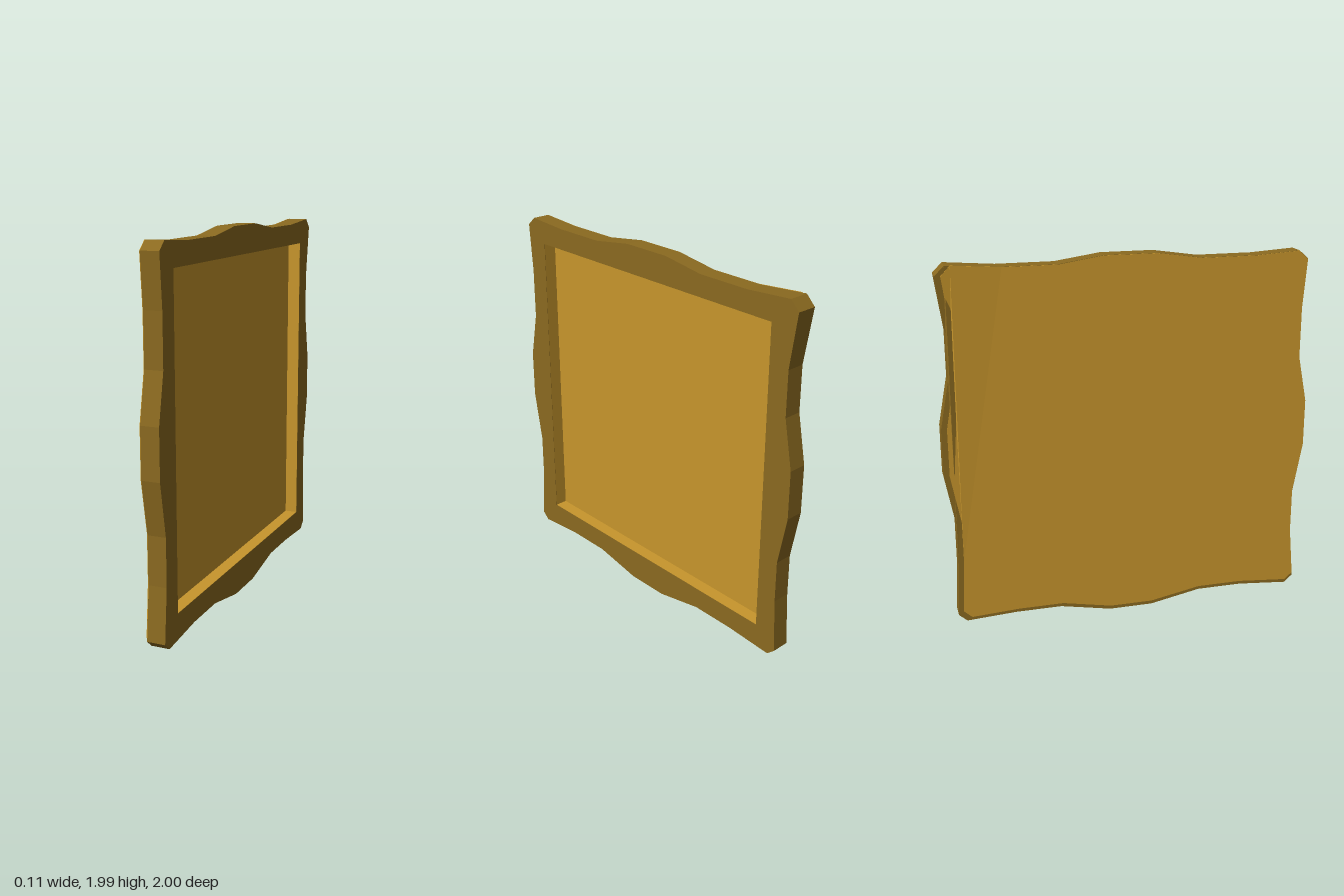
import * as THREE from 'three';

// Wavy outline as [-z, y], running around the frame
const OUTLINE = [
  [-0.92, 1.97], [-0.68, 1.955], [-0.38, 1.955], [-0.14, 1.99], [0.14, 1.99], [0.38, 1.955], [0.68, 1.955], [0.94, 1.975],
  [0.99, 1.925], [0.95, 1.64], [0.95, 1.4], [1, 1.14], [1, 0.88], [0.95, 0.61], [0.95, 0.38], [0.965, 0.08],
  [0.92, 0.04], [0.65, 0.055], [0.4, 0.055], [0.12, 0], [-0.12, 0], [-0.4, 0.055], [-0.65, 0.055], [-0.93, 0.03],
  [-0.975, 0.07], [-0.95, 0.35], [-0.95, 0.6], [-1, 0.88], [-1, 1.14], [-0.95, 1.39], [-0.95, 1.66], [-0.97, 1.925],
];
const HALF = 0.835, BOTTOM = 0.175, TOP = 1.84;
const PANEL_X = -0.02, FRONT_X = 0.05;

const toShape = (points) => new THREE.Shape(points.map(([u, v]) => new THREE.Vector2(u, v)));

// Extrude along x, with the upper rear corner bent slightly backwards
function slab(shape, x0, x1) {
  const geometry = new THREE.ExtrudeGeometry(shape, { depth: x1 - x0, bevelEnabled: false });
  geometry.rotateY(Math.PI / 2).translate(x0, 0, 0);
  const p = geometry.attributes.position;
  for (let i = 0; i < p.count; i++) {
    if (p.getX(i) < 0 && p.getY(i) > 1.9 && p.getZ(i) < -0.9) p.setX(i, p.getX(i) - 0.01);
  }
  geometry.computeVertexNormals();
  return geometry;
}

export function createModel() {
  const darkGold = new THREE.MeshStandardMaterial({ color: 0x8b6a20 });
  darkGold.name = 'dark gold';
  const lightGold = new THREE.MeshStandardMaterial({ color: 0xc8962c });
  lightGold.name = 'light gold';

  const model = new THREE.Group();
  model.name = 'framedPanel';
  const add = (name, geometry, material, parent = model) => {
    const mesh = new THREE.Mesh(geometry, material);
    mesh.name = name;
    parent.add(mesh);
    return mesh;
  };

  // Wavy frame with a square opening
  const frameShape = toShape(OUTLINE);
  frameShape.holes.push(new THREE.Path([
    new THREE.Vector2(-HALF, BOTTOM), new THREE.Vector2(HALF, BOTTOM),
    new THREE.Vector2(HALF, TOP), new THREE.Vector2(-HALF, TOP),
  ]));
  add('frame', slab(frameShape, -0.047, FRONT_X), darkGold);

  // Thin backing, leaving a narrow rim of frame at the rear and bottom edges
  const backing = OUTLINE.map(([u, v]) => [u > 0 ? u * 0.97 : u * 0.999, v < 1 ? 1 + (v - 1) * 0.98 : v - 0.001]);
  add('backing', slab(toShape(backing), -0.05, -0.046), lightGold);

  // Recessed panel
  const height = TOP - BOTTOM, midY = (TOP + BOTTOM) / 2;
  const panel = add('panel', new THREE.PlaneGeometry(2 * HALF, height), lightGold);
  panel.rotation.y = Math.PI / 2;
  panel.position.set(PANEL_X, midY, 0);

  // Light lining on the four walls of the opening
  const lining = new THREE.Group();
  lining.name = 'lining';
  model.add(lining);
  const depth = FRONT_X - PANEL_X, midX = (FRONT_X + PANEL_X) / 2, gap = 0.002;
  for (const s of [-1, 1]) {
    const side = add('sideLining', new THREE.PlaneGeometry(depth, height), lightGold, lining);
    side.rotation.y = s > 0 ? Math.PI : 0;
    side.position.set(midX, midY, s * (HALF - gap));
    const ledge = add('ledgeLining', new THREE.PlaneGeometry(depth, 2 * HALF), lightGold, lining);
    ledge.rotation.x = s * Math.PI / 2;
    ledge.position.set(midX, midY + s * (height / 2 - gap), 0);
  }
  return model;
}
